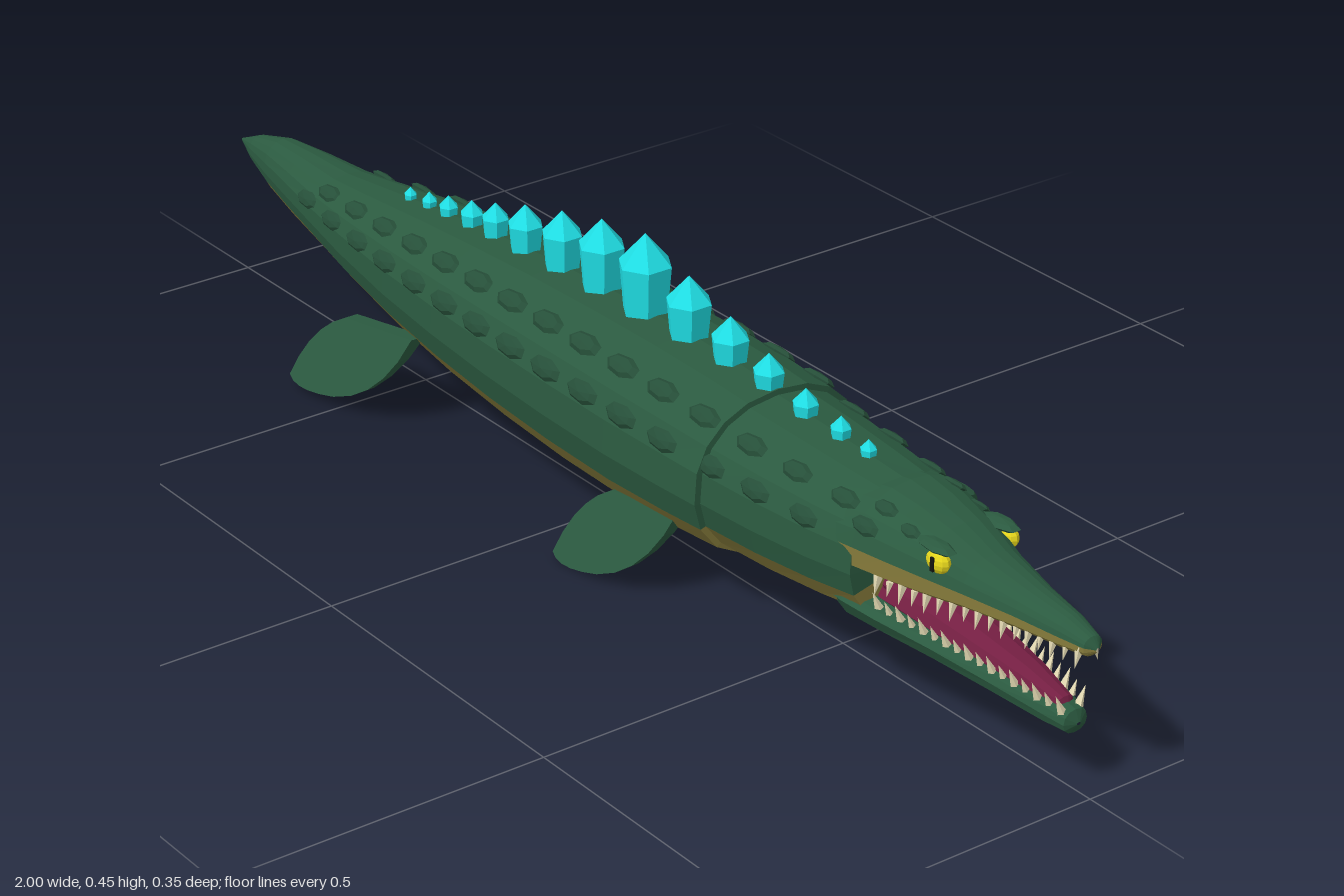
import * as THREE from 'three';

const paint = (name, color) => {
  const m = new THREE.MeshStandardMaterial({ color, flatShading: true });
  m.name = name;
  return m;
};

// Cross-sections along x: [x, top y, widest y, bottom y, half width]
const TRUNK = [
  [-1, 0.228, 0.226, 0.224, 0.002], [-0.95, 0.25, 0.226, 0.205, 0.02], [-0.88, 0.268, 0.225, 0.182, 0.037],
  [-0.8, 0.272, 0.22, 0.165, 0.051], [-0.7, 0.273, 0.214, 0.15, 0.068], [-0.6, 0.285, 0.21, 0.134, 0.086],
  [-0.45, 0.303, 0.208, 0.112, 0.109], [-0.3, 0.317, 0.208, 0.095, 0.126], [-0.15, 0.328, 0.208, 0.084, 0.138],
  [0, 0.334, 0.208, 0.077, 0.145], [0.15, 0.336, 0.208, 0.076, 0.148], [0.27, 0.333, 0.208, 0.082, 0.145],
  [0.35, 0.328, 0.208, 0.088, 0.141], [0.351, 0.32, 0.208, 0.095, 0.132], [0.45, 0.316, 0.208, 0.097, 0.125],
  [0.55, 0.31, 0.208, 0.103, 0.113], [0.63, 0.305, 0.21, 0.11, 0.1], [0.64, 0.21, 0.2, 0.19, 0.005],
];
const HEAD = [
  [0.58, 0.3, 0.22, 0.19, 0.104], [0.63, 0.309, 0.222, 0.19, 0.1], [0.68, 0.304, 0.222, 0.192, 0.09],
  [0.74, 0.292, 0.222, 0.195, 0.075], [0.8, 0.273, 0.222, 0.2, 0.057], [0.88, 0.259, 0.222, 0.204, 0.038],
  [0.95, 0.25, 0.222, 0.207, 0.026], [0.99, 0.238, 0.222, 0.21, 0.016], [1, 0.225, 0.222, 0.219, 0.003],
];
const JAW = [
  [0.56, 0.15, 0.14, 0.12, 0.08], [0.6, 0.165, 0.145, 0.105, 0.09], [0.66, 0.152, 0.14, 0.104, 0.082],
  [0.75, 0.144, 0.13, 0.098, 0.062], [0.85, 0.134, 0.118, 0.091, 0.043], [0.93, 0.126, 0.108, 0.086, 0.029],
  [0.965, 0.12, 0.102, 0.086, 0.02], [0.972, 0.104, 0.102, 0.1, 0.003],
];
const TONGUE = [
  [0.6, 0.19, 0.155, 0.13, 0.056], [0.66, 0.181, 0.152, 0.13, 0.052], [0.75, 0.168, 0.142, 0.12, 0.043],
  [0.88, 0.147, 0.128, 0.11, 0.026], [0.945, 0.13, 0.12, 0.105, 0.014], [0.95, 0.12, 0.118, 0.115, 0.002],
];

// Point on a cross-section at an angle measured from the +z side upward
function ringPoint([x, top, mid, bottom, half], degrees) {
  const a = THREE.MathUtils.degToRad(degrees);
  const c = Math.cos(a), s = Math.sin(a);
  const square = (v) => Math.sign(v) * Math.abs(v) ** 0.9;
  return new THREE.Vector3(x, mid + square(s) * (s > 0 ? top - mid : mid - bottom), square(c) * half);
}

// Interpolated section at x
function sectionAt(sections, x) {
  let i = 0;
  while (i < sections.length - 2 && sections[i + 1][0] < x) i++;
  const a = sections[i], b = sections[i + 1];
  const t = (x - a[0]) / (b[0] - a[0]);
  return a.map((v, k) => v + (b[k] - v) * t);
}

// Skin stretched over the sections between two angles
function skin(sections, from, to, steps) {
  const pos = [];
  const at = (i, j) => ringPoint(sections[i], from + ((to - from) * j) / steps);
  for (let i = 0; i < sections.length - 1; i++) {
    for (let j = 0; j < steps; j++) {
      const a = at(i, j), b = at(i + 1, j), c = at(i + 1, j + 1), d = at(i, j + 1);
      for (const p of [a, b, c, a, c, d]) pos.push(p.x, p.y, p.z);
    }
  }
  const g = new THREE.BufferGeometry();
  g.setAttribute('position', new THREE.Float32BufferAttribute(pos, 3));
  g.computeVertexNormals();
  return g;
}

// Swept-back paddle, thick at the root and thin at the tip
function flipperGeometry(side) {
  const s = new THREE.Shape();
  s.moveTo(0.21, 0.14);
  s.lineTo(0.07, 0.118);
  s.quadraticCurveTo(0.01, 0.085, 0, 0.008);
  s.quadraticCurveTo(0.02, -0.01, 0.1, 0.014);
  s.quadraticCurveTo(0.19, 0.045, 0.21, 0.14);
  const g = new THREE.ExtrudeGeometry(s, { depth: 1, bevelEnabled: false, curveSegments: 5 });
  const p = g.attributes.position;
  for (let i = 0; i < p.count; i++) {
    const y = p.getY(i);
    p.setZ(i, side * (0.173 - 0.53 * y) + (p.getZ(i) - 0.5) * (0.004 + 0.15 * Math.max(y, 0)));
  }
  g.computeVertexNormals();
  return g;
}

export function createModel() {
  const green = paint('back green', 0x2b5a40);
  const scuteGreen = paint('scute green', 0x264f39);
  const olive = paint('belly olive', 0x887d3c);
  const cyan = paint('crystal cyan', 0x1fe0e6);
  const crimson = paint('mouth crimson', 0x741f42);
  const ivory = paint('tooth ivory', 0xeae0b8);
  const yellow = paint('eye yellow', 0xe8d81c);
  const black = paint('pupil black', 0x14140f);

  const model = new THREE.Group();
  model.name = 'seaReptile';
  const add = (parent, name, geometry, material, x = 0, y = 0, z = 0) => {
    const m = new THREE.Mesh(geometry, material);
    m.name = name;
    m.position.set(x, y, z);
    parent.add(m);
    return m;
  };
  const group = (name) => {
    const g = new THREE.Group();
    g.name = name;
    model.add(g);
    return g;
  };

  // Trunk, head and jaws; the olive wraps up onto the lip
  add(model, 'back', skin(TRUNK, -24, 204, 12), green);
  add(model, 'belly', skin(TRUNK, -156, -24, 6), olive);
  add(model, 'upperHead', skin(HEAD, 10, 170, 10), green);
  add(model, 'lipAndPalate', skin(HEAD, -190, 10, 8), olive);
  add(model, 'lowerJaw', skin(JAW, 0, 360, 12), green);
  add(model, 'tongue', skin(TONGUE, 0, 360, 10), crimson);
  const throat = add(model, 'throat', new THREE.CylinderGeometry(0.05, 0.05, 0.008, 12), crimson, 0.642, 0.172, 0);
  throat.rotation.z = Math.PI / 2;
  throat.scale.x = 0.6;

  // Rows of bony plates along the flanks
  const scutes = group('scutes');
  const scuteGeo = new THREE.SphereGeometry(1, 7, 4);
  const addScute = (sections, x, angle, size) => {
    const p = ringPoint(sectionAt(sections, x), angle);
    const m = add(scutes, 'scute', scuteGeo, scuteGreen, p.x, p.y, p.z);
    m.rotation.x = THREE.MathUtils.degToRad(90 - angle);
    m.scale.set(0.034 * size, 0.008 * size, 0.016 * size);
  };
  [22, 49].forEach((angle, row) => {
    for (let i = 0; i < 15; i++) {
      const x = -0.72 + i * 0.09 + row * 0.045;
      if (x > 0.6) continue;
      const size = 0.55 + 0.5 * Math.cos((x + 0.05) * 1.4);
      for (const a of [angle, 180 - angle]) addScute(TRUNK, x, a, size);
    }
  });
  for (const [x, angle, size] of [[0.64, 32, 0.8], [0.65, 55, 0.7], [0.7, 48, 0.6]]) {
    for (const a of [angle, 180 - angle]) addScute(HEAD, x, a, size);
  }

  // Crystal spines: [x, tip height, radius]
  const spines = group('crystals');
  for (const [x, tip, r] of [
    [-0.53, 0.312, 0.01], [-0.48, 0.322, 0.012], [-0.43, 0.334, 0.015], [-0.37, 0.348, 0.018],
    [-0.31, 0.366, 0.021], [-0.235, 0.39, 0.027], [-0.145, 0.413, 0.031], [-0.05, 0.435, 0.035],
    [0.052, 0.45, 0.04], [0.152, 0.423, 0.034], [0.245, 0.397, 0.028], [0.33, 0.375, 0.023],
    [0.41, 0.354, 0.019], [0.485, 0.343, 0.015], [0.543, 0.332, 0.012],
  ]) {
    const base = sectionAt(TRUNK, x)[1] - 0.02;
    const cap = r * 1.15, h = tip - base - cap;
    add(spines, 'crystalShaft', new THREE.CylinderGeometry(r, r * 0.8, h, 6), cyan, x, base + h / 2, 0);
    add(spines, 'crystalTip', new THREE.ConeGeometry(r, cap, 6), cyan, x, tip - cap / 2, 0);
  }

  // Teeth, eyes, brows and flippers, mirrored
  const teeth = group('teeth');
  const toothGeo = new THREE.ConeGeometry(0.007, 0.03, 5);
  for (const side of [1, -1]) {
    for (let i = 0; i < 17; i++) {
      const size = i % 2 ? 0.75 : 1.05;
      const ux = 0.66 + i * 0.02;
      const u = sectionAt(HEAD, ux);
      const upper = add(teeth, 'upperTooth', toothGeo, ivory, ux, u[3] - 0.001, side * u[4] * 0.84);
      upper.rotation.x = Math.PI - side * 0.25;
      upper.scale.setScalar(size);
      const lx = 0.65 + i * 0.019;
      const l = sectionAt(JAW, lx);
      const lower = add(teeth, 'lowerTooth', toothGeo, ivory, lx, l[1] + 0.006, side * l[4] * 0.85);
      lower.rotation.x = side * 0.4;
      lower.scale.setScalar(size);
    }

    const eye = add(model, 'eye', new THREE.SphereGeometry(0.017, 10, 8), yellow, 0.757, 0.262, side * 0.058);
    eye.scale.set(1.2, 1, 0.75);
    add(model, 'pupil', new THREE.BoxGeometry(0.006, 0.02, 0.003), black, 0.759, 0.262, side * 0.0705);
    const brow = add(model, 'brow', scuteGeo, green, 0.748, 0.279, side * 0.054);
    brow.scale.set(0.036, 0.007, 0.016);

    add(model, 'frontFlipper', flipperGeometry(side), green, 0.065, 0.003, 0);
    add(model, 'rearFlipper', flipperGeometry(side), green, -0.612, 0.012, 0).scale.x = 1.15;
  }
  return model;
}
